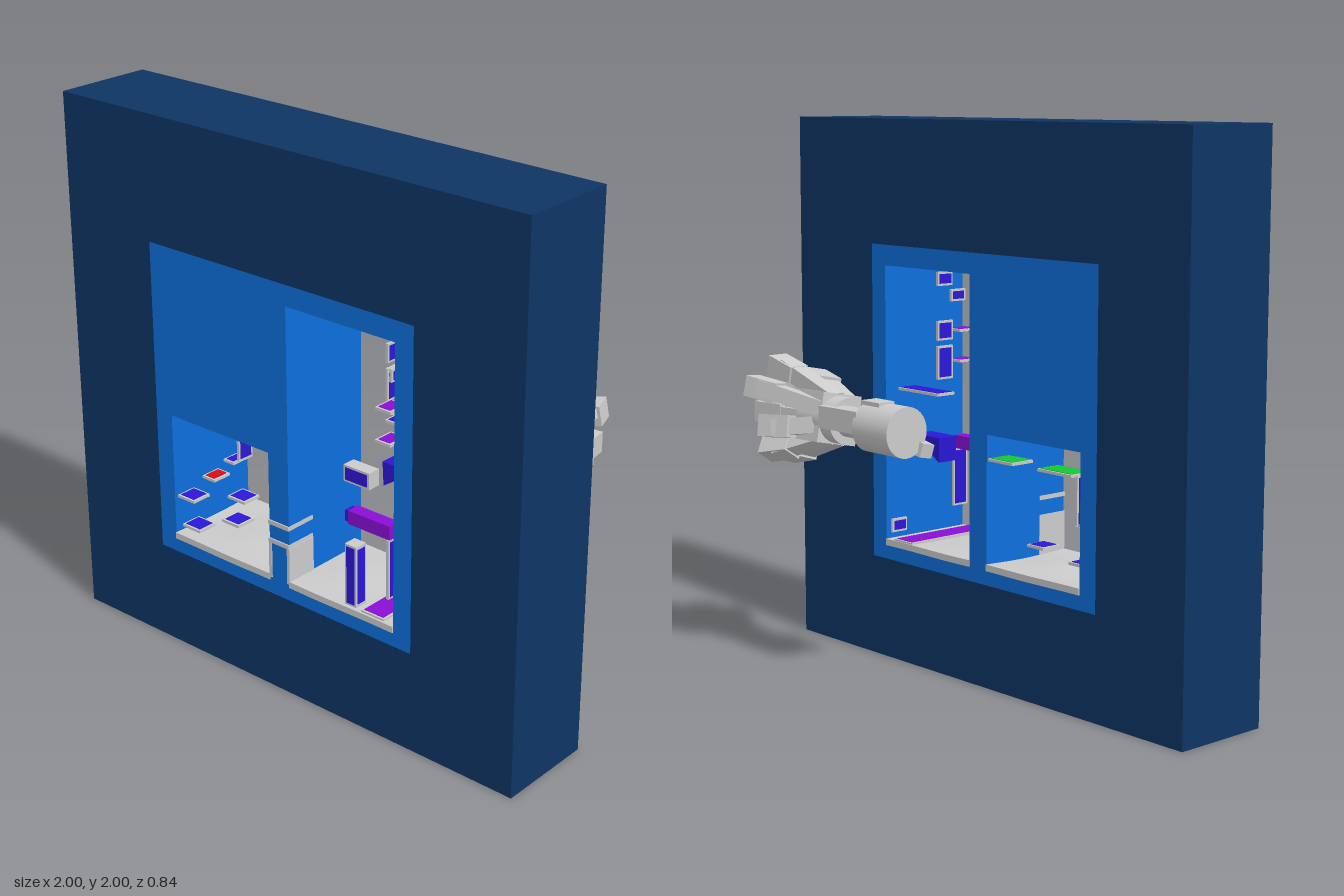
import * as THREE from 'three';

const mat = (color) => new THREE.MeshStandardMaterial({ color, flatShading: true });
const GREY = mat(0xcccccc), NAVY = mat(0x0e3564), BLUE = mat(0x0d6fdc), INDIGO = mat(0x2a17d8);
const PURPLE = mat(0x8a0fd6), GREEN = mat(0x12c832), RED = mat(0xd0101c);
const Z0 = 0.045, Z1 = 0.42;

function rectPath(C, x0, y0, x1, y1) {
  const p = new C();
  p.moveTo(x0, y0);
  p.lineTo(x1, y0);
  p.lineTo(x1, y1);
  p.lineTo(x0, y1);
  p.closePath();
  return p;
}

// Slab between Z0 and Z1 with rectangular openings
function slab(name, outer, holes, material) {
  const shape = rectPath(THREE.Shape, ...outer);
  holes.forEach((h) => shape.holes.push(rectPath(THREE.Path, ...h)));
  const geo = new THREE.ExtrudeGeometry(shape, { depth: Z1 - Z0, bevelEnabled: false });
  const mesh = new THREE.Mesh(geo, material);
  mesh.name = name;
  mesh.position.z = Z0;
  return mesh;
}

function box(name, x0, x1, y0, y1, z0, z1, material) {
  const mesh = new THREE.Mesh(new THREE.BoxGeometry(x1 - x0, y1 - y0, z1 - z0), material);
  mesh.name = name;
  mesh.position.set((x0 + x1) / 2, (y0 + y1) / 2, (z0 + z1) / 2);
  return mesh;
}

// Thin grey plate with a coloured inlay on both broad faces; axis is the thin direction
function plaque(name, center, size, axis, material) {
  const g = new THREE.Group();
  g.name = name;
  g.add(new THREE.Mesh(new THREE.BoxGeometry(...size), GREY));
  const inlay = size.map((s, i) => (i === axis ? s + 0.004 : s - 0.016));
  g.add(new THREE.Mesh(new THREE.BoxGeometry(...inlay), material));
  g.position.set(...center);
  return g;
}

// Uneven floor: a box whose vertices ripple up and down
function wavyFloor(name, x0, x1, phase) {
  const w = x1 - x0;
  const geo = new THREE.BoxGeometry(w, 0.024, Z1 - Z0 + 0.008, 20, 1, 14);
  const p = geo.attributes.position;
  for (let i = 0; i < p.count; i++) {
    const x = p.getX(i), z = p.getZ(i);
    p.setY(i, p.getY(i) + 0.006 * Math.sin(x * 14 + phase) * Math.cos(z * 9));
  }
  const mesh = new THREE.Mesh(geo, GREY);
  mesh.name = name;
  mesh.position.set((x0 + x1) / 2, 0.439, (Z0 + Z1) / 2);
  return mesh;
}

// Square beam from a to b
function beam(name, a, b, w, h, roll = 0) {
  const from = new THREE.Vector3(...a), to = new THREE.Vector3(...b);
  const mesh = new THREE.Mesh(new THREE.BoxGeometry(w, h, from.distanceTo(to)), GREY);
  mesh.name = name;
  mesh.position.copy(from).add(to).multiplyScalar(0.5);
  mesh.lookAt(to);
  mesh.rotateZ(roll);
  return mesh;
}

function buildCannon() {
  const g = new THREE.Group();
  g.name = 'armAssembly';
  const smooth = new THREE.MeshStandardMaterial({ color: 0xcccccc });
  // Stepped barrel along x
  [['muzzle', 0.04, 0.23, 0.09], ['neck', 0.22, 0.38, 0.055], ['collar', 0.36, 0.56, 0.085]].forEach(([name, x0, x1, r]) => {
    const m = new THREE.Mesh(new THREE.CylinderGeometry(r, r, x1 - x0, 32), smooth);
    m.name = name;
    m.rotation.z = Math.PI / 2;
    m.position.set((x0 + x1) / 2, 0.94, -0.235);
    g.add(m);
  });
  // Plates alongside the barrel
  g.add(beam('lowerPlate', [0.02, 0.87, -0.16], [0.22, 0.9, -0.14], 0.05, 0.05, 0.2));
  g.add(beam('topPlate', [0.14, 1.02, -0.24], [0.24, 1.02, -0.24], 0.07, 0.03));
  g.add(beam('neckPlate', [0.22, 0.96, -0.28], [0.42, 0.96, -0.29], 0.07, 0.08));
  g.add(beam('neckPlate', [0.2, 0.91, -0.18], [0.42, 0.9, -0.16], 0.06, 0.07));
  g.add(beam('core', [0.42, 0.94, -0.23], [0.76, 0.93, -0.22], 0.17, 0.18, 0.2));
  // Splayed bundle: y, z and x of the outer end, width, roll
  const ends = [
    [1.03, -0.12, 0.74, 0.11, 0.2], [1.1, -0.235, 0.79, 0.08, 0], [1.04, -0.37, 0.76, 0.075, 0.1],
    [0.94, -0.31, 0.78, 0.075, 0], [0.9, -0.05, 0.72, 0.09, 0.1], [0.82, -0.13, 0.83, 0.1, 0.1],
    [0.79, -0.23, 0.74, 0.09, 0.3], [0.81, -0.33, 0.72, 0.08, 0.6], [0.9, -0.37, 0.68, 0.08, 0.2],
    [1.0, -0.2, 0.76, 0.09, 0.3],
  ];
  ends.forEach(([y, z, x, w, roll]) => {
    const sy = 0.94 + (y - 0.94) * 0.4, sz = -0.23 + (z + 0.23) * 0.35;
    g.add(beam('bundleBeam', [0.44, sy, sz], [x - 0.06, y, z], w * 0.75, w * 0.75, roll));
    // Chunky end block
    const py = 0.94 + (y - 0.94) * 0.8, pz = -0.23 + (z + 0.23) * 0.75;
    g.add(beam('endBlock', [x - 0.13, py, pz], [x, y, z], w, w, roll));
  });
  return g;
}

export function createModel() {
  const root = new THREE.Group();
  root.name = 'wallModule';

  // Outer wall and the inner panel with two rooms cut through
  const inner = [-0.6, 0.375, 0.57, 1.545];
  root.add(slab('outerWall', [-1, 0, 1, 2], [inner], NAVY));
  root.add(slab('innerPanel', inner, [[-0.525, 0.43, -0.06, 0.915], [0.03, 0.43, 0.495, 1.47]], BLUE));

  // Floors and the sill that climbs over the dividing wall
  root.add(wavyFloor('leftRoomFloor', -0.525, -0.06, 1));
  root.add(wavyFloor('rightRoomFloor', 0.03, 0.495, 3));
  root.add(box('lowerSill', -0.062, 0.032, 0.577, 0.593, 0.3, 0.425, GREY));
  root.add(box('upperSill', -0.062, 0.032, 0.647, 0.663, 0.3, 0.425, GREY));
  for (const x of [-0.062, 0.022]) root.add(box('sillPost', x, x + 0.012, 0.44, 0.58, 0.3, 0.424, GREY));

  // Horizontal plates: x0, x1, y, z, depth, colour
  [
    [-0.475, -0.31, 0.825, 0.1, 0.1, GREEN], [-0.185, -0.06, 0.825, 0.1, 0.1, GREEN],
    [-0.525, -0.475, 0.648, 0.12, 0.1, INDIGO], [-0.525, -0.465, 0.622, 0.24, 0.08, RED],
    [-0.52, -0.44, 0.595, 0.37, 0.08, INDIGO], [-0.5, -0.415, 0.51, 0.14, 0.08, INDIGO],
    [-0.5, -0.415, 0.485, 0.37, 0.08, INDIGO], [-0.3, -0.22, 0.572, 0.37, 0.08, INDIGO],
    [-0.3, -0.22, 0.54, 0.13, 0.08, INDIGO], [0.405, 0.47, 1.215, 0.37, 0.08, PURPLE],
    [0.405, 0.47, 1.1, 0.37, 0.08, PURPLE], [0.22, 0.44, 1.02, 0.1, 0.08, INDIGO],
    [0.35, 0.45, 0.453, 0.23, 0.37, PURPLE],
  ].forEach(([x0, x1, y, z, d, m]) => {
    root.add(plaque('shelfPlate', [(x0 + x1) / 2, y, z], [x1 - x0, 0.01, d], 1, m));
  });

  // Upright plates facing sideways: x, y0, y1, z
  [
    [-0.475, 0.65, 0.825, 0.11], [0.205, 1.415, 1.465, 0.08], [0.205, 1.22, 1.29, 0.08],
    [0.205, 1.08, 1.2, 0.08], [0.465, 1.32, 1.365, 0.37], [0.465, 0.54, 0.76, 0.38],
    [0.465, 0.48, 0.53, 0.08],
  ].forEach(([x, y0, y1, z]) => {
    root.add(plaque('sidePlate', [x, (y0 + y1) / 2, z], [0.01, y1 - y0, 0.07], 0, INDIGO));
  });

  // Front-facing sign, pillar and block
  root.add(plaque('frontPlate', [0.33, 0.947, 0.39], [0.11, 0.06, 0.05], 2, INDIGO));
  root.add(plaque('pillar', [0.3, 0.567, 0.385], [0.05, 0.23, 0.05], 2, INDIGO));
  for (const x of [0.274, 0.326]) root.add(box('pillarSide', x - 0.002, x + 0.002, 0.465, 0.67, 0.367, 0.403, INDIGO));
  root.add(box('ledgeBlock', 0.29, 0.47, 0.76, 0.81, 0.36, 0.41, PURPLE));
  root.add(box('ledgeEnd', 0.272, 0.29, 0.765, 0.805, 0.365, 0.405, INDIGO));

  // Triangular bracket
  const tri = new THREE.Shape([[0.21, 0.865], [0.215, 0.775], [0.35, 0.865]].map((p) => new THREE.Vector2(...p)));
  const wedge = new THREE.Mesh(new THREE.ExtrudeGeometry(tri, { depth: 0.08, bevelEnabled: false }), INDIGO);
  wedge.name = 'wedgeBracket';
  wedge.position.z = 0.06;
  root.add(wedge);

  root.add(buildCannon());
  return root;
}
